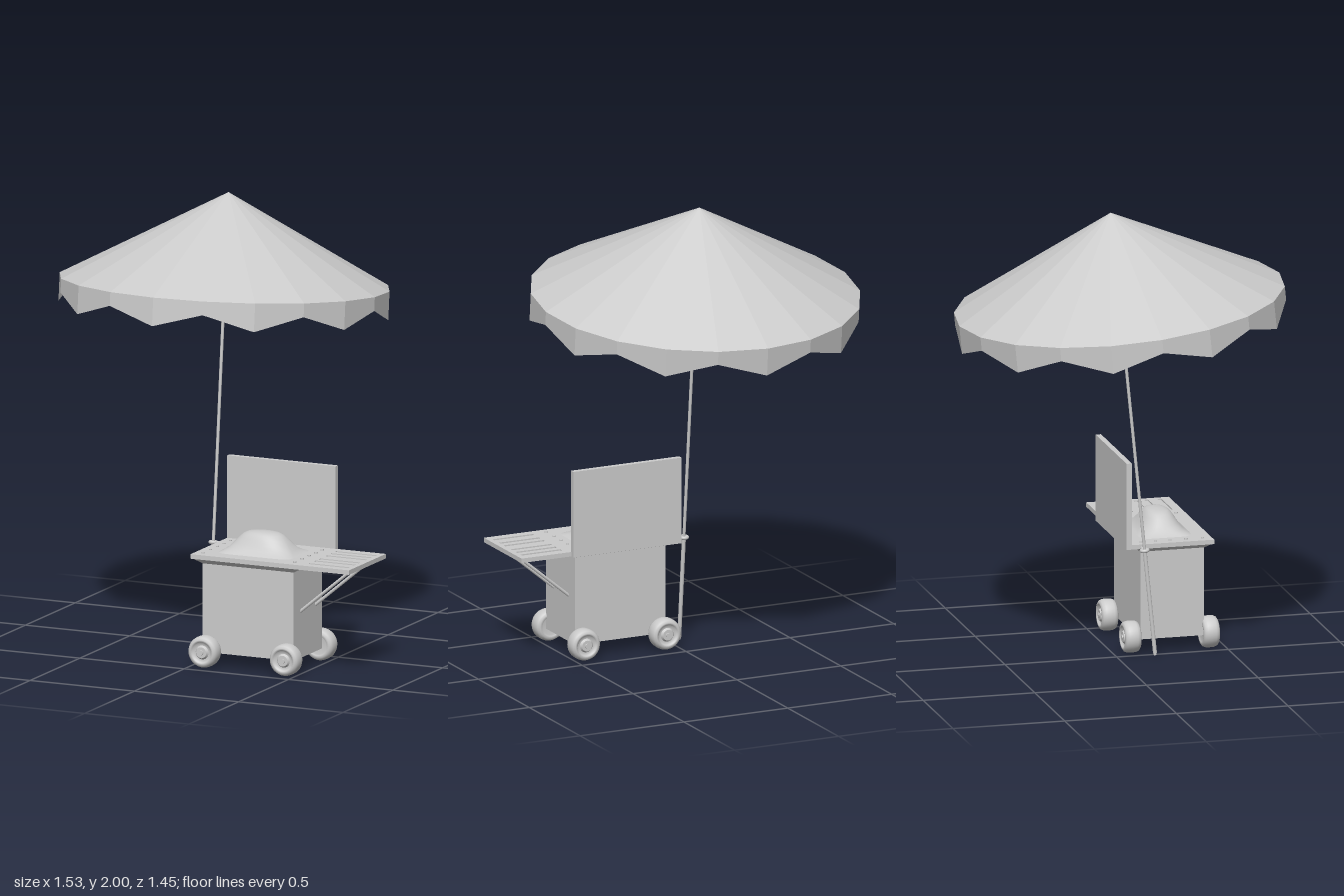
import * as THREE from 'three';

const grey = new THREE.MeshStandardMaterial({ color: 0xcccccc });
const flat = new THREE.MeshStandardMaterial({ color: 0xcccccc, flatShading: true, side: THREE.DoubleSide });

function add(parent, name, geometry, material = grey) {
  const mesh = new THREE.Mesh(geometry, material);
  mesh.name = name;
  parent.add(mesh);
  return mesh;
}

// Box given by its two opposite corners
function box(parent, name, [x0, y0, z0], [x1, y1, z1]) {
  const mesh = add(parent, name, new THREE.BoxGeometry(x1 - x0, y1 - y0, z1 - z0));
  mesh.position.set((x0 + x1) / 2, (y0 + y1) / 2, (z0 + z1) / 2);
  return mesh;
}

// Round bar between two points
function rod(parent, name, a, b, r) {
  const from = new THREE.Vector3(...a), to = new THREE.Vector3(...b);
  const mesh = add(parent, name, new THREE.CylinderGeometry(r, r, from.distanceTo(to), 10));
  mesh.position.copy(from).lerp(to, 0.5);
  mesh.quaternion.setFromUnitVectors(new THREE.Vector3(0, 1, 0), to.sub(from).normalize());
  return mesh;
}

// Surface through a stack of equal rings of points; open at both ends
function loft(rings, closed = true) {
  const n = rings[0].length, index = [];
  for (let i = 0; i < rings.length - 1; i++) {
    for (let j = 0; j < n - (closed ? 0 : 1); j++) {
      const a = i * n + j, b = i * n + (j + 1) % n;
      index.push(a, b, a + n, b, b + n, a + n);
    }
  }
  const g = new THREE.BufferGeometry();
  g.setAttribute('position', new THREE.Float32BufferAttribute(rings.flat(2), 3));
  g.setIndex(index);
  g.computeVertexNormals();
  return g;
}

// Tilted parasol: 20-sided cone, zigzag valance and pole
function makeParasol() {
  const g = new THREE.Group();
  g.name = 'parasol';
  const sides = 20, R = 0.72, H = 0.392;
  add(g, 'canopy', new THREE.ConeGeometry(R, H, sides, 1, true), flat).position.y = H / 2;
  const ring = (drop) => Array.from({ length: sides }, (_, i) => {
    const a = (i / sides) * Math.PI * 2;
    return [R * Math.sin(a), -drop(i), R * Math.cos(a)];
  });
  add(g, 'valance', loft([ring((i) => (i % 2 ? 0.06 : 0.125)), ring(() => 0)]), flat);
  rod(g, 'pole', [0, -1.608, 0], [0, H - 0.02, 0], 0.007);
  rod(g, 'poleSleeve', [0, -1.6, 0], [0, -1.13, 0], 0.009);
  g.position.set(-0.045, 1.61, 0);
  g.rotation.x = -0.1;
  return g;
}

// Wheel with its axis along z and the hub on the outer side
function makeWheel() {
  const g = new THREE.Group();
  g.name = 'wheel';
  const profile = [
    [0, -0.03], [0.04, -0.03], [0.045, -0.036], [0.055, -0.036], [0.064, -0.03], [0.069, -0.018], [0.07, 0],
    [0.069, 0.018], [0.064, 0.03], [0.055, 0.036], [0.046, 0.036], [0.044, 0.026], [0.03, 0.026],
  ].map(([r, y]) => new THREE.Vector2(r, y));
  add(g, 'tyre', new THREE.LatheGeometry(profile, 32)).rotation.x = Math.PI / 2;
  const hub = add(g, 'hub', new THREE.CylinderGeometry(0.024, 0.032, 0.012, 24));
  hub.rotation.x = Math.PI / 2;
  hub.position.z = 0.03;
  const cap = add(g, 'hubCap', new THREE.CylinderGeometry(0.01, 0.011, 0.006, 16));
  cap.rotation.x = Math.PI / 2;
  cap.position.z = 0.037;
  return g;
}

// Rounded mound on a nearly rectangular foot
function makeDome() {
  const steps = [ // half width, half depth, height, squareness
    [0.178, 0.118, 0, 0.3], [0.165, 0.108, 0.006, 0.4], [0.15, 0.094, 0.018, 0.6], [0.13, 0.08, 0.04, 0.75],
    [0.11, 0.067, 0.062, 0.85], [0.09, 0.055, 0.079, 0.9], [0.07, 0.043, 0.087, 0.95], [0.04, 0.025, 0.091, 1], [0, 0, 0.092, 1],
  ];
  const rings = steps.map(([w, d, y, e]) => Array.from({ length: 40 }, (_, i) => {
    const a = (i / 40) * Math.PI * 2, s = Math.sin(a), c = Math.cos(a);
    return [w * Math.sign(s) * Math.abs(s) ** e, y, d * Math.sign(c) * Math.abs(c) ** e];
  }));
  return loft(rings);
}

// Folding side shelf with recessed slots and two struts
function makeShelf() {
  const g = new THREE.Group();
  g.name = 'sideShelf';
  box(g, 'shelfBoard', [0.52, 0.475, 0.067], [0.76, 0.489, 0.437]);
  const plate = new THREE.Shape();
  plate.moveTo(0.52, -0.437).lineTo(0.76, -0.437).lineTo(0.76, -0.067).lineTo(0.52, -0.067);
  for (const z of [0.118, 0.165, 0.212, 0.281, 0.328, 0.388]) {
    const hole = new THREE.Path();
    hole.moveTo(0.545, -z - 0.009).lineTo(0.545, -z + 0.009).lineTo(0.737, -z + 0.009).lineTo(0.737, -z - 0.009);
    plate.holes.push(hole);
  }
  const top = add(g, 'slottedTop', new THREE.ExtrudeGeometry(plate, { depth: 0.006, bevelEnabled: false }));
  top.rotation.x = -Math.PI / 2;
  top.position.y = 0.489;
  for (const z of [0.183, 0.33]) rod(g, 'shelfStrut', [0.475, 0.265, z], [0.73, 0.478, z], 0.007);
  return g;
}

export function createModel() {
  const model = new THREE.Group();
  model.name = 'foodCart';
  model.add(makeParasol());

  // Cabinet, sloping apron, counter and upright back panel
  box(model, 'cabinet', [0.042, 0.06, 0.117], [0.478, 0.46, 0.402]);
  const rect = (x, z, y) => [[0.26 - x, y, 0.26 - z], [0.26 - x, y, 0.26 + z], [0.26 + x, y, 0.26 + z], [0.26 + x, y, 0.26 - z]];
  add(model, 'apron', loft([rect(0.218, 0.143, 0.452), rect(0.25, 0.175, 0.476)]), flat);
  box(model, 'counter', [0, 0.475, 0.067], [0.52, 0.495, 0.437]);
  box(model, 'backPanel', [0, 0.475, 0.045], [0.52, 0.86, 0.069]);

  const dome = add(model, 'dome', makeDome());
  dome.position.set(0.262, 0.495, 0.25);

  // Small studs along both ends of the counter
  for (const x of [0.04, 0.48]) {
    for (const z of [0.12, 0.185, 0.25, 0.32, 0.395]) {
      add(model, 'stud', new THREE.CylinderGeometry(0.007, 0.007, 0.006, 10)).position.set(x, 0.497, z);
    }
  }

  model.add(makeShelf());

  // Clamp that holds the pole beside the counter
  rod(model, 'clampArm', [-0.04, 0.48, 0.113], [0.005, 0.48, 0.113], 0.007);
  const collar = add(model, 'clampCollar', new THREE.TorusGeometry(0.014, 0.008, 10, 20));
  collar.rotation.x = Math.PI / 2 - 0.1;
  collar.position.set(-0.045, 0.48, 0.113);

  // Four wheels, hubs facing outward
  for (const x of [0.065, 0.455]) {
    for (const [z, turn] of [[0.43, 0], [0.079, Math.PI]]) {
      const wheel = makeWheel();
      wheel.position.set(x, 0.07, z);
      wheel.rotation.y = turn;
      model.add(wheel);
    }
  }
  return model;
}
